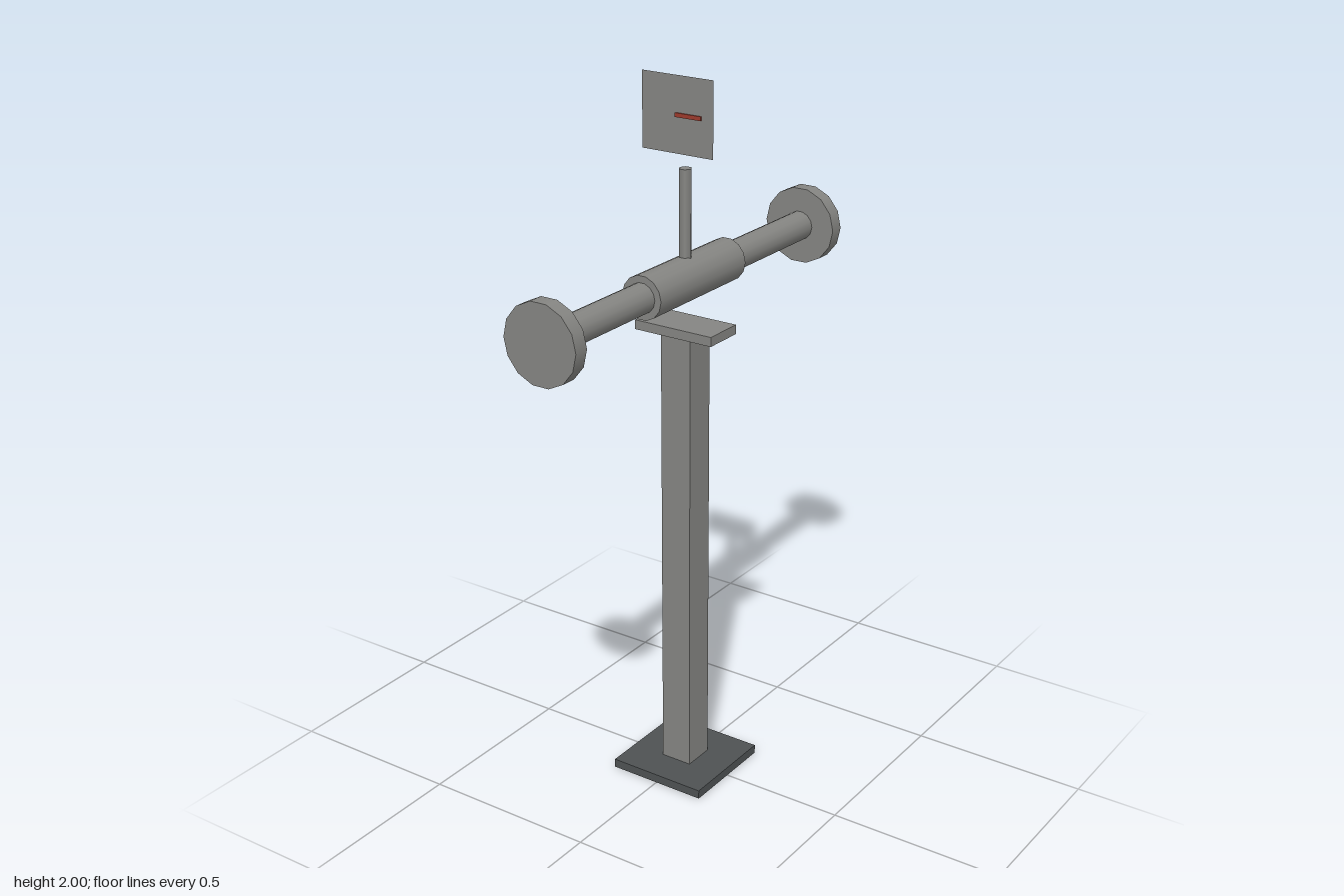
import * as THREE from 'three';

export function createModel() {
  const root = new THREE.Group();
  const mat = (name, color, side = THREE.FrontSide) => {
    const m = new THREE.MeshStandardMaterial({ color, side });
    m.name = name;
    return m;
  };
  const steel = mat('steel grey', 0x858582, THREE.DoubleSide);
  const dark = mat('dark slate', 0x4e5253);
  const red = mat('needle red', 0x9c3a2c);

  const add = (name, geometry, material, x, y, z) => {
    const mesh = new THREE.Mesh(geometry, material);
    mesh.name = name;
    mesh.position.set(x, y, z);
    root.add(mesh);
    return mesh;
  };
  // Cylinder lying along z with corners on the x axis
  const zCylinder = (radius, length) =>
    new THREE.CylinderGeometry(radius, radius, length, 14)
      .rotateY(Math.PI / 2)
      .rotateX(Math.PI / 2);

  // Stand
  add('basePlate', new THREE.BoxGeometry(0.29, 0.025, 0.29), dark, 0, 0.0125, 0);
  add('column', new THREE.BoxGeometry(0.092, 1.29, 0.092), steel, 0, 0.67, 0);
  add('capPlate', new THREE.BoxGeometry(0.24, 0.026, 0.118), steel, 0, 1.327, 0);

  // Pipe with a thicker middle body and a flange at each end
  const axisY = 1.462;
  add('meterBody', zCylinder(0.06, 0.39), steel, 0, axisY, 0);
  for (const s of [1, -1]) {
    add(s > 0 ? 'frontPipe' : 'backPipe', zCylinder(0.041, 0.39), steel, 0, axisY, s * 0.38);
    add(s > 0 ? 'frontFlange' : 'backFlange', zCylinder(0.109, 0.043), steel, 0, axisY, s * 0.5885);
  }

  // Six-sided stem
  const stem = new THREE.CylinderGeometry(0.018, 0.018, 0.255, 6).rotateY(Math.PI / 2);
  add('stem', stem, steel, 0, 1.6275, 0);

  // Display panel and its needle
  add('displayPanel', new THREE.PlaneGeometry(0.216, 0.2), steel, 0, 1.9, 0.035);
  add('needle', new THREE.BoxGeometry(0.078, 0.011, 0.004), red, 0.034, 1.9, 0.038);

  return root;
}
